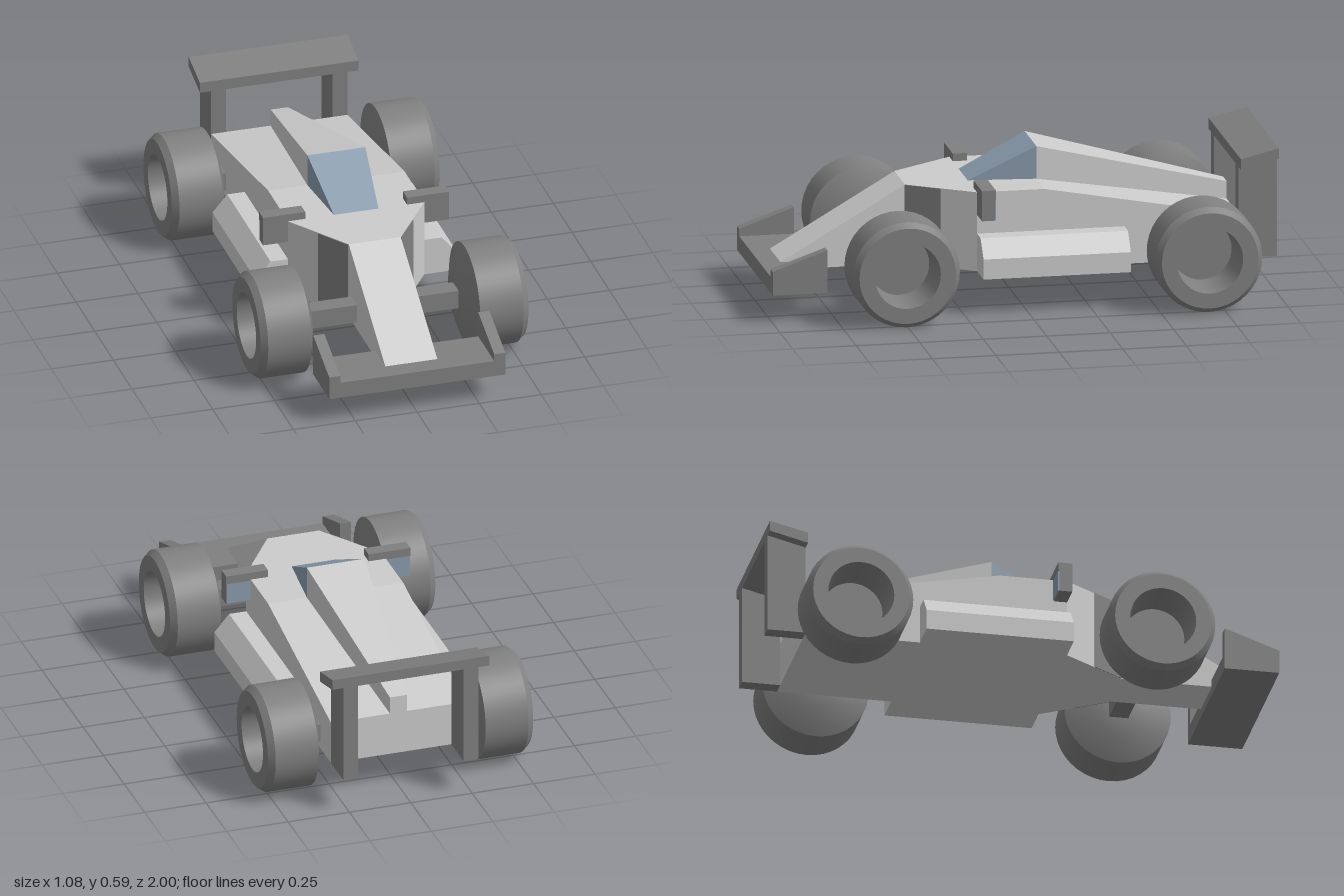
import * as THREE from 'three';
import { toCreasedNormals } from 'three/addons/utils/BufferGeometryUtils.js';
import { ConvexGeometry } from 'three/addons/geometries/ConvexGeometry.js';

const material = (name, color) => {
  const m = new THREE.MeshStandardMaterial({ color });
  m.name = name;
  return m;
};

export function createModel() {
  const car = new THREE.Group();
  car.name = 'racingCar';
  const body = material('bodyGrey', 0xcccccc);
  const dark = material('darkGrey', 0x808080);
  const glass = material('blueGlass', 0x8a9cad);

  const add = (name, geometry, mat) => {
    const mesh = new THREE.Mesh(geometry, mat);
    mesh.name = name;
    car.add(mesh);
    return mesh;
  };
  // Box given by its limits on each axis
  const box = (name, mat, [x0, x1], [y0, y1], [z0, z1]) =>
    add(name, new THREE.BoxGeometry(x1 - x0, y1 - y0, z1 - z0)
      .translate((x0 + x1) / 2, (y0 + y1) / 2, (z0 + z1) / 2), mat);
  // Side profile of [z, y] points, extruded from x0 to x1
  const slab = (name, mat, x0, x1, points) => {
    const shape = new THREE.Shape(points.map(p => new THREE.Vector2(...p)));
    const g = new THREE.ExtrudeGeometry(shape, { depth: x1 - x0, bevelEnabled: false });
    return add(name, g.rotateY(-Math.PI / 2).translate(x1, 0, 0), mat);
  };
  // Convex solid from [x, y, z] points, mirrored across x
  const hull = (name, mat, points) => add(name, new ConvexGeometry(
    points.flatMap(([x, y, z]) => [new THREE.Vector3(x, y, z), new THREE.Vector3(-x, y, z)])), mat);
  // Limits mirrored to the chosen side
  const span = (s, a, b) => (s > 0 ? [a, b] : [-b, -a]);

  // Body: nose, tapered shoulders, sloping rear
  slab('nose', body, -0.105, 0.105, [[0.43, 0.145], [0.92, 0.145], [0.92, 0.175], [0.43, 0.46]]);
  hull('shoulders', body, [
    [0.275, 0.145, 0.18], [0.275, 0.46, 0.18], [0.105, 0.145, 0.43], [0.105, 0.46, 0.43]]);
  slab('mainBody', body, -0.275, 0.275,
    [[-0.85, 0.145], [0.18, 0.145], [0.18, 0.46], [-0.085, 0.46], [-0.85, 0.32]]);
  hull('engineCover', body, [
    [0.117, 0.3, -0.085], [0.117, 0.59, -0.085], [0.035, 0.3, -0.85], [0.035, 0.39, -0.85]]);
  hull('windshield', glass, [[0.117, 0.455, -0.085], [0.117, 0.59, -0.085], [0.09, 0.455, 0.18], [0.09, 0.46, 0.18]]);

  // Front and rear wings, axles
  box('frontWing', dark, [-0.31, 0.31], [0.11, 0.175], [0.785, 1]);
  slab('rearWing', dark, -0.32, 0.32, [[-1, 0.545], [-0.85, 0.507], [-0.85, 0.55], [-1, 0.587]]);
  box('frontAxle', dark, [-0.32, 0.32], [0.175, 0.25], [0.465, 0.54]);
  box('rearAxle', dark, [-0.32, 0.32], [0.175, 0.25], [-0.725, -0.65]);

  // Tyre cross-section with deep outer recess
  const profile = [[0, 0.305], [0.11, 0.305], [0.21, 0.34], [0.21, 0.515], [0.19, 0.54],
    [0.13, 0.54], [0.118, 0.37], [0, 0.37]].map(p => new THREE.Vector2(...p));
  const tyre = toCreasedNormals(new THREE.LatheGeometry(profile, 40).rotateZ(-Math.PI / 2), 0.45);

  for (const s of [1, -1]) {
    const side = s > 0 ? 'left' : 'right';

    for (const [end, z] of [['Front', 0.505], ['Rear', -0.685]]) {
      const wheel = add(side + end + 'Wheel', tyre, dark);
      wheel.position.set(0, 0.21, z);
      if (s < 0) wheel.rotation.y = Math.PI;
    }

    // Dark panel on the forward half of the shoulder
    const panel = add(side + 'ShoulderPanel', new THREE.BoxGeometry(0.15, 0.314, 0.008), dark);
    panel.position.set(s * 0.1475, 0.3025, 0.3675);
    panel.rotation.y = s * Math.atan2(0.25, 0.17);

    // Side pod with a sloped shoulder
    const pod = new THREE.Shape([[0.27, 0.145], [0.405, 0.145], [0.405, 0.225], [0.345, 0.295], [0.27, 0.295]]
      .map(([x, y]) => new THREE.Vector2(s * x, y)));
    add(side + 'SidePod', new THREE.ExtrudeGeometry(pod, { depth: 0.58, bevelEnabled: false })
      .translate(0, 0, -0.4), body);

    slab(side + 'FrontEndplate', dark, ...span(s, 0.31, 0.355),
      [[0.785, 0.11], [1, 0.11], [1, 0.205], [0.785, 0.28]]);
    slab(side + 'RearWingPost', dark, ...span(s, 0.215, 0.275),
      [[-1, 0.145], [-0.85, 0.145], [-0.85, 0.51], [-1, 0.55]]);

    // Mirror: arm, housing and rear-facing glass
    box(side + 'MirrorArm', dark, span(s, 0.205, 0.375), [0.455, 0.49], [0.125, 0.18]);
    box(side + 'MirrorHousing', dark, span(s, 0.275, 0.375), [0.37, 0.455], [0.13, 0.18]);
    box(side + 'MirrorGlass', glass, span(s, 0.277, 0.373), [0.372, 0.455], [0.124, 0.13]);
  }
  return car;
}
